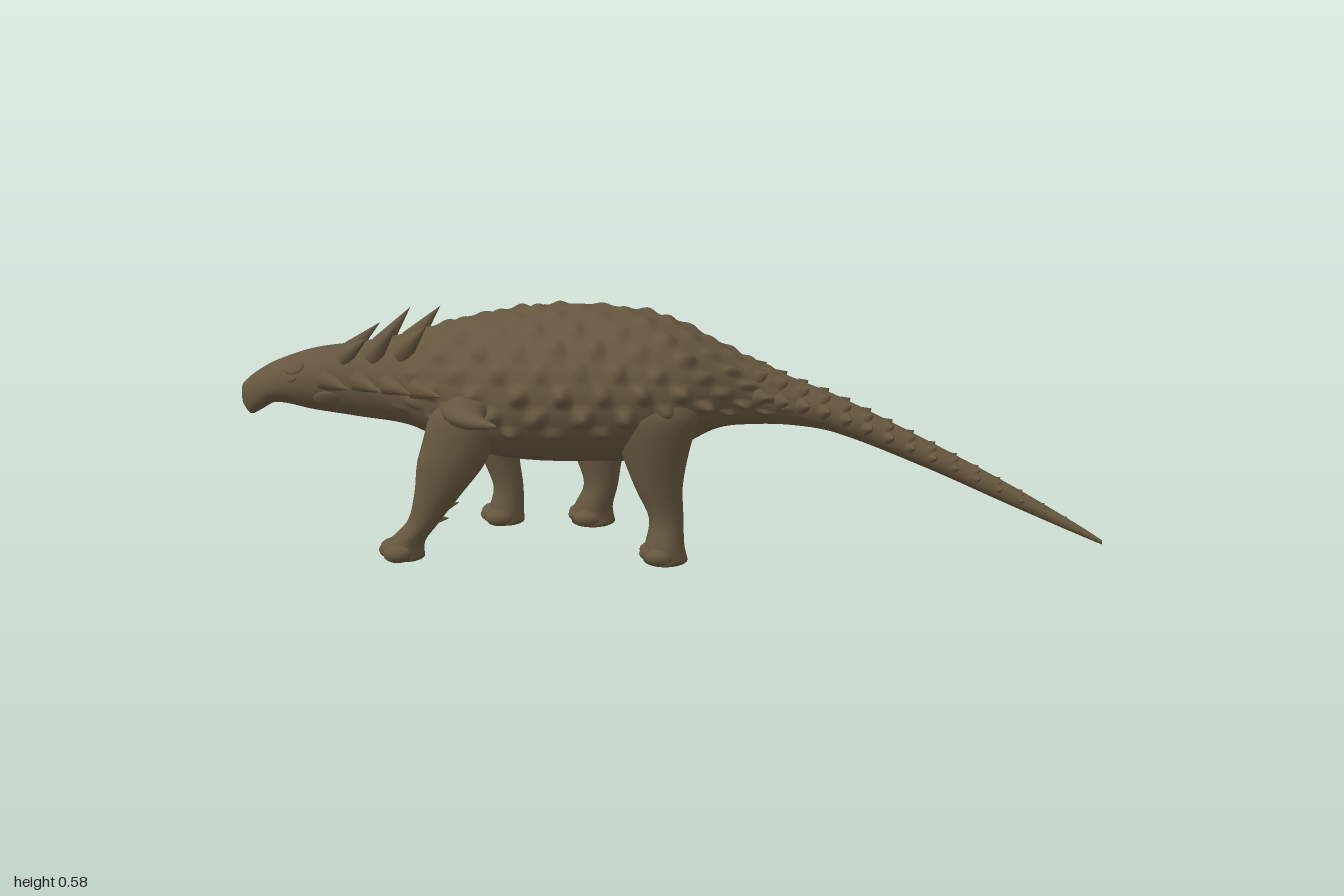
import * as THREE from 'three';
import { mergeGeometries } from 'three/addons/utils/BufferGeometryUtils.js';

const hide = new THREE.MeshStandardMaterial({ color: 0x66573f });
hide.name = 'brownHide';
const V = (x, y, z) => new THREE.Vector3(x, y, z);

// Body stations: x, top, widest height, bottom, half width, centre z
const stations = [
  [-1.0, 0.385, 0.36, 0.335, 0.018, 0],
  [-0.985, 0.4, 0.355, 0.312, 0.028, 0],
  [-0.96, 0.418, 0.37, 0.322, 0.04, 0],
  [-0.92, 0.44, 0.385, 0.342, 0.056, 0],
  [-0.83, 0.47, 0.40, 0.325, 0.076, 0],
  [-0.72, 0.486, 0.40, 0.308, 0.088, 0],
  [-0.6, 0.508, 0.39, 0.29, 0.122, 0],
  [-0.5, 0.537, 0.38, 0.245, 0.168, 0],
  [-0.4, 0.558, 0.38, 0.222, 0.205, 0],
  [-0.3, 0.571, 0.385, 0.212, 0.23, 0],
  [-0.18, 0.574, 0.39, 0.211, 0.236, 0],
  [-0.06, 0.56, 0.39, 0.215, 0.225, 0],
  [0.03, 0.535, 0.39, 0.245, 0.198, 0],
  [0.12, 0.49, 0.385, 0.288, 0.138, 0],
  [0.2, 0.449, 0.37, 0.295, 0.085, 0],
  [0.3, 0.405, 0.35, 0.294, 0.06, 0.008],
  [0.4, 0.368, 0.325, 0.28, 0.048, 0.025],
  [0.6, 0.278, 0.245, 0.212, 0.034, 0.07],
  [0.8, 0.183, 0.16, 0.136, 0.023, 0.13],
  [0.95, 0.105, 0.094, 0.083, 0.012, 0.185],
  [1.0, 0.076, 0.071, 0.066, 0.004, 0.203],
];

// Smooth interpolation of one station column
function at(x, k) {
  const s = stations, n = s.length - 1;
  let i = 0;
  while (i < n - 1 && x > s[i + 1][0]) i++;
  const slope = j => {
    const a = s[Math.max(j - 1, 0)], b = s[Math.min(j + 1, n)];
    return (b[k] - a[k]) / (b[0] - a[0]);
  };
  const h = s[i + 1][0] - s[i][0], t = Math.min(1, Math.max(0, (x - s[i][0]) / h));
  const t2 = t * t, t3 = t2 * t;
  return (2 * t3 - 3 * t2 + 1) * s[i][k] + (t3 - 2 * t2 + t) * h * slope(i)
    + (3 * t2 - 2 * t3) * s[i + 1][k] + (t3 - t2) * h * slope(i + 1);
}

// Point on the bare skin; angle 0 is the left flank, 90 degrees the spine
function skin(x, a) {
  const mid = at(x, 2), s = Math.sin(a);
  const r = s > 0 ? at(x, 1) - mid : mid - at(x, 3);
  return V(x, mid + s * r, at(x, 5) + Math.cos(a) * at(x, 4));
}
function skinNormal(x, a) {
  const e = 0.01;
  const dx = skin(Math.min(x + e, 1), a).sub(skin(Math.max(x - e, -1), a));
  const da = skin(x, a + e).sub(skin(x, a - e));
  return dx.cross(da).normalize();
}

// Staggered scutes raised out of the skin: low on the back, tall on the flank
const { smoothstep } = THREE.MathUtils;
function armour(x, a) {
  const s = Math.sin(a);
  const fade = smoothstep(x, -0.68, -0.45) * (1 - smoothstep(x, 0.14, 0.34)) * smoothstep(s, -0.5, -0.28);
  const height = 0.027 - 0.012 * smoothstep(s, 0.1, 0.4) - 0.006 * smoothstep(s, 0.7, 0.95);
  const uneven = 0.85 + 0.25 * Math.sin(23 * x + 9 * s);
  const warp = x + 0.012 * Math.sin(9 * x + 4 * s);
  const cell = Math.cos(warp * Math.PI / 0.048) * Math.cos((a - Math.PI / 2) * 11);
  return fade * (height * uneven * Math.pow(Math.max(0, cell), 1.3) - 0.001);
}

// Closed smooth surface through rings of points
function loft(rings) {
  const m = rings[0].length, pos = [], idx = [];
  rings.forEach(r => r.forEach(p => pos.push(p.x, p.y, p.z)));
  for (let i = 0; i < rings.length - 1; i++) for (let j = 0; j < m; j++) {
    const k = (j + 1) % m, a = i * m + j, b = a + m, c = i * m + k, d = c + m;
    idx.push(a, b, c, b, d, c);
  }
  [0, rings.length - 1].forEach((ri, end) => {
    const c = rings[ri].reduce((s, p) => s.add(p), V(0, 0, 0)).divideScalar(m);
    const ci = pos.length / 3;
    pos.push(c.x, c.y, c.z);
    for (let j = 0; j < m; j++) {
      const a = ri * m + j, b = ri * m + (j + 1) % m;
      if (end) idx.push(ci, b, a); else idx.push(ci, a, b);
    }
  });
  const g = new THREE.BufferGeometry();
  g.setAttribute('position', new THREE.Float32BufferAttribute(pos, 3));
  g.setIndex(idx);
  g.computeVertexNormals();
  return g;
}
const ring = (n, f) => Array.from({ length: n }, (_, j) => f(j / n * Math.PI * 2));

const ellipsoid = (p, rx, ry, rz) => new THREE.SphereGeometry(1, 12, 8).scale(rx, ry, rz).translate(p.x, p.y, p.z);
function spike(base, tip, r) {
  const d = tip.clone().sub(base), len = d.length();
  const g = new THREE.ConeGeometry(r, len, 10, 3, true).translate(0, len / 2, 0);
  g.applyQuaternion(new THREE.Quaternion().setFromUnitVectors(V(0, 1, 0), d.normalize()));
  return g.translate(base.x, base.y, base.z);
}
function scute(x, a, r, h) {
  const q = new THREE.Quaternion().setFromUnitVectors(V(0, 1, 0), skinNormal(x, a)), p = skin(x, a);
  return ellipsoid(V(0, 0, 0), r * 1.25, h, r * 0.85).applyQuaternion(q).translate(p.x, p.y, p.z);
}

export function createModel() {
  const model = new THREE.Group();
  const add = (name, g) => {
    const m = new THREE.Mesh(Array.isArray(g) ? mergeGeometries(g) : g, hide);
    m.name = name;
    model.add(m);
  };

  // Head, trunk and tail in one skin
  const rings = [];
  for (let i = 0; i <= 260; i++) {
    const x = -1 + i / 130;
    rings.push(ring(128, a => skin(x, a).addScaledVector(skinNormal(x, a), armour(x, a))));
  }
  add('body', loft(rings));

  // Legs: rings of x, y, z, half depth, half width, from hip to sole
  const legs = {
    leftForeleg: [[-0.45, 0.39, 0.14, 0.055, 0.045], [-0.46, 0.33, 0.142, 0.085, 0.06], [-0.49, 0.24, 0.148, 0.08, 0.055],
      [-0.525, 0.16, 0.146, 0.055, 0.045], [-0.562, 0.09, 0.142, 0.038, 0.038], [-0.602, 0.04, 0.137, 0.042, 0.044], [-0.606, 0.004, 0.136, 0.044, 0.048]],
    rightForeleg: [[-0.44, 0.39, -0.14, 0.055, 0.045], [-0.44, 0.33, -0.142, 0.082, 0.06], [-0.425, 0.24, -0.148, 0.066, 0.055],
      [-0.408, 0.16, -0.148, 0.045, 0.045], [-0.392, 0.09, -0.147, 0.037, 0.038], [-0.397, 0.04, -0.147, 0.042, 0.046], [-0.4, 0.004, -0.147, 0.046, 0.052]],
    leftHindLeg: [[-0.02, 0.4, 0.145, 0.07, 0.055], [-0.02, 0.35, 0.15, 0.098, 0.072], [-0.022, 0.27, 0.146, 0.08, 0.066],
      [-0.014, 0.18, 0.142, 0.056, 0.052], [0.004, 0.1, 0.14, 0.04, 0.045], [0, 0.04, 0.147, 0.046, 0.055], [0.002, 0.004, 0.147, 0.052, 0.06]],
    rightHindLeg: [[-0.08, 0.4, -0.145, 0.07, 0.055], [-0.1, 0.35, -0.15, 0.098, 0.072], [-0.14, 0.27, -0.146, 0.082, 0.066],
      [-0.166, 0.18, -0.142, 0.06, 0.052], [-0.163, 0.1, -0.14, 0.042, 0.045], [-0.183, 0.04, -0.147, 0.048, 0.055], [-0.183, 0.004, -0.147, 0.054, 0.06]],
  };
  for (const [name, rows] of Object.entries(legs)) {
    const curve = new THREE.CatmullRomCurve3(rows.map(r => V(r[0], r[1], r[2])));
    const size = new THREE.CatmullRomCurve3(rows.map(r => V(r[3], r[4], 0)));
    const legRings = Array.from({ length: 25 }, (_, i) => {
      const c = curve.getPoint(i / 24), s = size.getPoint(i / 24);
      return ring(20, a => V(c.x + s.x * Math.cos(a), c.y, c.z - s.y * Math.sin(a)));
    });
    add(name, loft(legRings));
    // Splayed toes
    const [fx, , fz] = rows[6];
    add(name + 'Toes', [-1.5, -0.5, 0.5, 1.5].map(k =>
      ellipsoid(V(fx - 0.034 + Math.abs(k) * 0.014, 0.023, fz + k * 0.03), 0.034, 0.021, 0.022)));
  }
  // Blunt spurs on the forelegs
  add('forelegSpurs', [
    spike(V(-0.525, 0.125, 0.145), V(-0.475, 0.14, 0.15), 0.018),
    spike(V(-0.55, 0.095, 0.142), V(-0.5, 0.1, 0.145), 0.018),
    ellipsoid(V(-0.405, 0.15, -0.185), 0.014, 0.015, 0.01),
    ellipsoid(V(-0.395, 0.115, -0.18), 0.014, 0.012, 0.014),
  ]);

  for (const s of [1, -1]) {
    const side = s > 0 ? 'left' : 'right';
    const ang = d => (s > 0 ? d : 180 - d) * Math.PI / 180;

    // Long curved shoulder spike
    const path = new THREE.CatmullRomCurve3([V(-0.44, 0.365, s * 0.16), V(-0.45, 0.37, s * 0.21),
      V(-0.437, s > 0 ? 0.372 : 0.39, s * 0.27), V(-0.405, s > 0 ? 0.378 : 0.405, s * 0.335), V(-0.36, s > 0 ? 0.383 : 0.423, s * 0.38)]);
    add(side + 'ShoulderSpike', loft(Array.from({ length: 17 }, (_, i) => {
      const t = i / 16, c = path.getPoint(t), r = 0.062 * Math.pow(1 - t, 0.75) + 0.002;
      return ring(14, a => V(c.x + r * Math.cos(a), c.y - s * r * 0.62 * Math.sin(a), c.z));
    })));

    // Tall neck spikes and lower side spikes
    add(side + 'NeckSpikes', [[-0.75, 0.517, 0.08, 0.022], [-0.68, 0.55, 0.1, 0.026], [-0.61, 0.55, 0.115, 0.028]].map(([x, y, z, r]) =>
      spike(skin(x, ang(52)).add(V(0, -0.008, 0)), V(x + 0.067, y, s * z), r)));
    add(side + 'NeckSideSpikes', [[-0.79, 0.125], [-0.71, 0.148], [-0.64, 0.17], [-0.57, 0.19]].map(([x, z]) =>
      spike(skin(x, ang(8)).add(V(0, 0, -s * 0.01)), V(x + 0.065, 0.40, s * z), 0.027)));

    // Brow, eye and cheek
    add(side + 'Brow', scute(-0.865, ang(38), 0.02, 0.006));
    add(side + 'Eye', scute(-0.87, ang(14), 0.009, 0.005));
    add(side + 'Cheek', scute(-0.79, ang(-25), 0.025, 0.007));

    // Tail spikes shrinking toward the tip
    const tail = [];
    for (let i = 0; i < 15; i++) {
      const x = 0.22 + i * 0.05, k = 1 - i / 20;
      for (const [d, len] of [[8, 0.022], [50, 0.01]]) {
        const a = ang(d), p = skin(x, a), n = skinNormal(x, a);
        tail.push(spike(p.clone().addScaledVector(n, -0.006), p.clone().addScaledVector(n, len * k).add(V(0.014 * k, 0, 0)), 0.023 * k));
      }
    }
    add(side + 'TailSpikes', tail);
  }

  return model;
}
